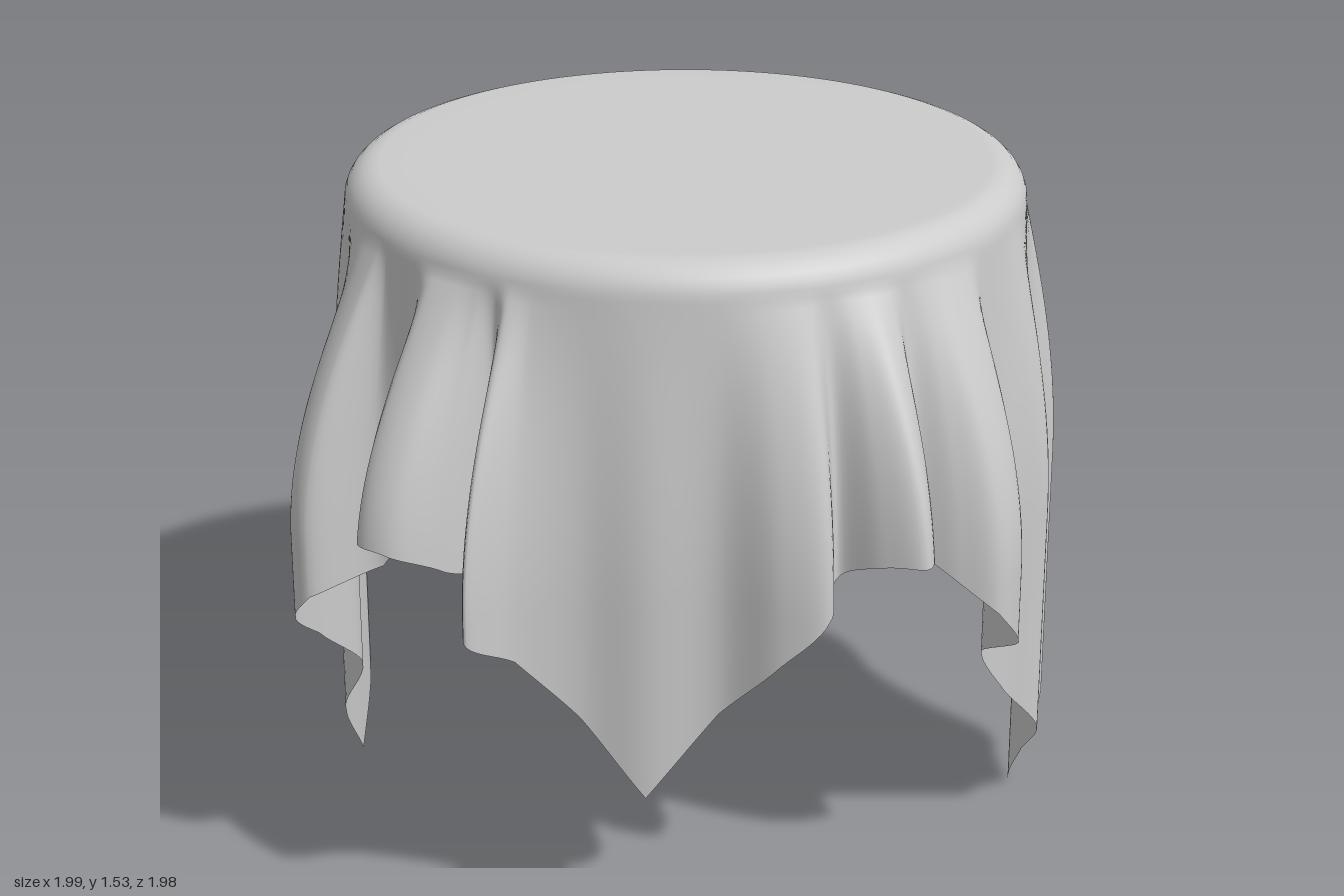
import * as THREE from 'three';

const TOP = 1.54, ROUND = 0.08, RIM = 0.76;   // table-top height, edge rounding, rim radius
const STEPS = 8, ROWS = 36;                   // columns per fold point, rows down the skirt

// Hem outline seen from above: [angle in degrees from +x towards +z, radius]
const FOLDS = [
  [3, 0.97], [6, 0.86], [9, 0.81], [13, 0.84], [22, 0.79], [29, 0.81], [35, 0.86], [40, 0.81],
  [45, 0.775], [53, 0.81], [59, 0.86], [66, 0.81], [74, 0.80], [79, 0.94], [85, 0.96], [89, 0.90],
  [93, 0.83], [96, 0.95], [99, 1.0], [103, 0.93], [107, 0.84], [110, 0.92], [116, 0.885], [124, 0.80],
  [135, 0.81], [145, 0.81], [153, 0.88], [157, 0.98], [160, 0.78], [163, 0.90], [167, 1.0], [172, 1.01],
  [177, 0.79], [185, 0.80], [188, 0.96], [192, 0.97], [197, 0.89], [205, 0.77], [215, 0.81],
  [225, 0.79], [234, 0.80], [241, 0.87], [248, 0.87], [254, 0.77], [261, 0.83], [267, 0.94], [275, 0.94],
  [281, 1.02], [286, 0.92], [289, 0.84], [292, 0.97], [297, 0.83], [306, 0.80],
  [315, 0.79], [326, 0.81], [332, 0.90], [341, 0.92], [345, 0.99], [350, 0.81], [354, 0.96], [358.5, 0.99],
];

// Smaller of two values with a rounded transition
function softMin(a, b, k) {
  const h = Math.max(k - Math.abs(a - b), 0) / k;
  return Math.min(a, b) - h * h * k / 4;
}

// Angular distance to the nearer of two opposite corners
function cornerGap(deg, corner) {
  const d = (((deg - corner) % 180) + 180) % 180;
  return Math.min(d, 180 - d);
}

// Hem height: two long corners, two short ones, level hem between them
function hemHeight(deg) {
  const long = 0.005 + 0.0183 * cornerGap(deg, 45);
  const short = 0.355 + 0.018 * cornerGap(deg, 135);
  return softMin(softMin(long, short, 0.06), 0.92, 0.06);
}

function clothGeometry() {
  const n = FOLDS.length, cols = n * STEPS;
  const hem = new THREE.CatmullRomCurve3(FOLDS.map(([deg, r]) => {
    const a = THREE.MathUtils.degToRad(deg);
    return new THREE.Vector3(r * Math.cos(a), 0, r * Math.sin(a));
  }), true);

  // Flat top and rounded shoulder, as [radius, height]
  const cap = [[0, TOP], [0.35, TOP], [0.62, TOP]];
  for (let i = 0; i <= 7; i++) {
    const a = i / 7 * Math.PI / 2;
    cap.push([RIM - ROUND + ROUND * Math.sin(a), TOP - ROUND + ROUND * Math.cos(a)]);
  }

  const rings = cap.length + ROWS, pos = [], index = [];
  for (let c = 0; c < cols; c++) {
    const k = Math.floor(c / STEPS), f = (c % STEPS) / STEPS;
    const next = k + 1 < n ? FOLDS[k + 1][0] : FOLDS[0][0] + 360;
    const deg = THREE.MathUtils.lerp(FOLDS[k][0], next, f);
    const a = THREE.MathUtils.degToRad(deg), ca = Math.cos(a), sa = Math.sin(a);
    for (const [r, y] of cap) pos.push(r * ca, y, r * sa);

    // Skirt column: the folds open out from the rim, then hang straight
    const p = hem.getPoint(c / cols);
    const start = TOP - ROUND, total = start - hemHeight(deg);
    const span = Math.min(0.66, total * 1.12);
    for (let j = 1; j <= ROWS; j++) {
      const drop = total * j / ROWS;
      const s = Math.sin(Math.min(1, drop / span) * Math.PI / 2);
      pos.push(THREE.MathUtils.lerp(RIM * ca, p.x, s), start - drop, THREE.MathUtils.lerp(RIM * sa, p.z, s));
    }
  }
  for (let c = 0; c < cols; c++) {
    const a = c * rings, b = ((c + 1) % cols) * rings;
    for (let j = 0; j < rings - 1; j++) {
      if (j > 0) index.push(a + j, b + j, a + j + 1);
      index.push(b + j, b + j + 1, a + j + 1);
    }
  }
  const geo = new THREE.BufferGeometry();
  geo.setAttribute('position', new THREE.Float32BufferAttribute(pos, 3));
  geo.setIndex(index);
  geo.computeVertexNormals();
  return geo;
}

export function createModel() {
  const group = new THREE.Group();
  group.name = 'drapedTablecloth';
  const cloth = new THREE.Mesh(
    clothGeometry(),
    new THREE.MeshStandardMaterial({ color: 0xcccccc, side: THREE.DoubleSide }),
  );
  cloth.name = 'tablecloth';
  group.add(cloth);
  return group;
}
